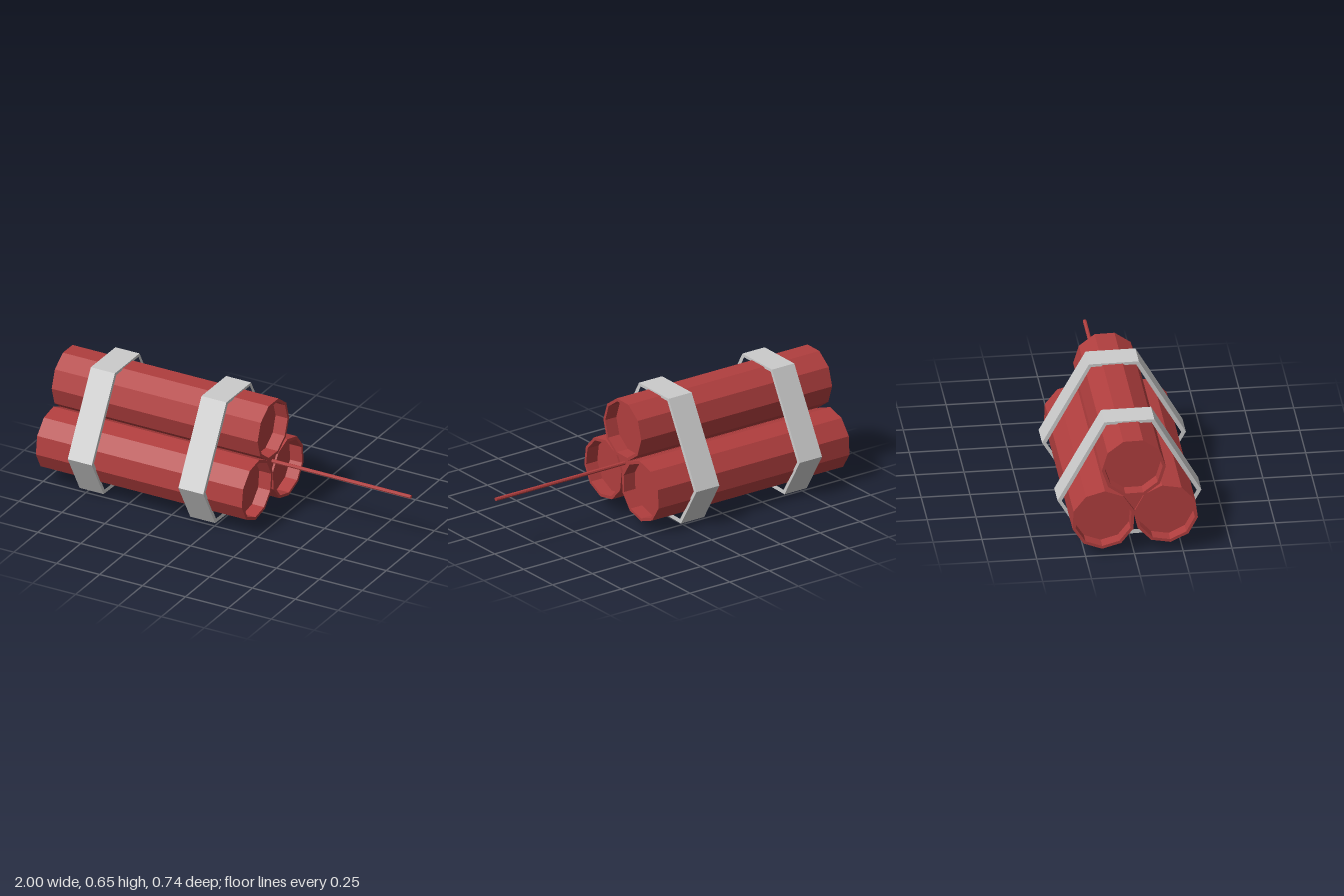
import * as THREE from 'three';

const red = new THREE.MeshStandardMaterial({ color: 0xb03e3e, flatShading: true });
const grey = new THREE.MeshStandardMaterial({ color: 0xcccccc, flatShading: true });

// Extrude a (z, y) outline along x, from x0 to x1
function prism(points, x0, x1, hole) {
  const toVec = ([z, y]) => new THREE.Vector2(-z, y);
  const shape = new THREE.Shape(points.map(toVec));
  if (hole) shape.holes.push(new THREE.Path(hole.map(toVec)));
  return new THREE.ExtrudeGeometry(shape, { depth: x1 - x0, bevelEnabled: false })
    .rotateY(Math.PI / 2).translate(x0, 0, 0);
}

export function createModel() {
  const model = new THREE.Group();
  const add = (name, geometry, material) => {
    const mesh = new THREE.Mesh(geometry, material);
    mesh.name = name;
    model.add(mesh);
  };

  // Ten-sided sticks with recessed ends
  const ro = 0.164, ri = 0.148, half = 0.6, floor = half - 0.07;
  const profile = [
    [0, -floor], [ri, -floor], [ri, -half], [ro, -half],
    [ro, half], [ri, half], [ri, floor], [0, floor],
  ].map(([r, h]) => new THREE.Vector2(r, h));
  const sticks = [
    ['topStick', -0.003, 0.49, 1],
    ['frontStick', 0.164, 0.22, -10.4],
    ['backStick', -0.158, 0.204, 15.4],
  ];
  for (const [name, z, y, degrees] of sticks) {
    add(name, new THREE.LatheGeometry(profile, 10)
      .rotateZ(-Math.PI / 2)
      .rotateX(-THREE.MathUtils.degToRad(degrees))
      .translate(-0.4, y, z), red);
  }

  // Filler between the sticks
  add('coreFiller', prism([[0.05, 0.335], [-0.056, 0.333], [0.002, 0.25]], -0.99, 0.19), red);

  // Fuse
  add('fuse', new THREE.CylinderGeometry(0.01, 0.01, 0.84, 8)
    .rotateZ(-Math.PI / 2).translate(0.58, 0.306, -0.009), red);

  // Six-sided straps around the bundle
  const outer = [[0.128, 0.655], [-0.128, 0.653], [-0.368, 0.22], [-0.236, 0.002], [0.245, 0.016], [0.369, 0.237]];
  const inner = [[0.113, 0.639], [-0.117, 0.638], [-0.346, 0.218], [-0.228, 0.025], [0.236, 0.038], [0.345, 0.237]];
  add('leftEndStrap', prism(outer, -0.79, -0.65, inner), grey);
  add('middleStrap', prism(outer, -0.145, 0, inner), grey);

  return model;
}
